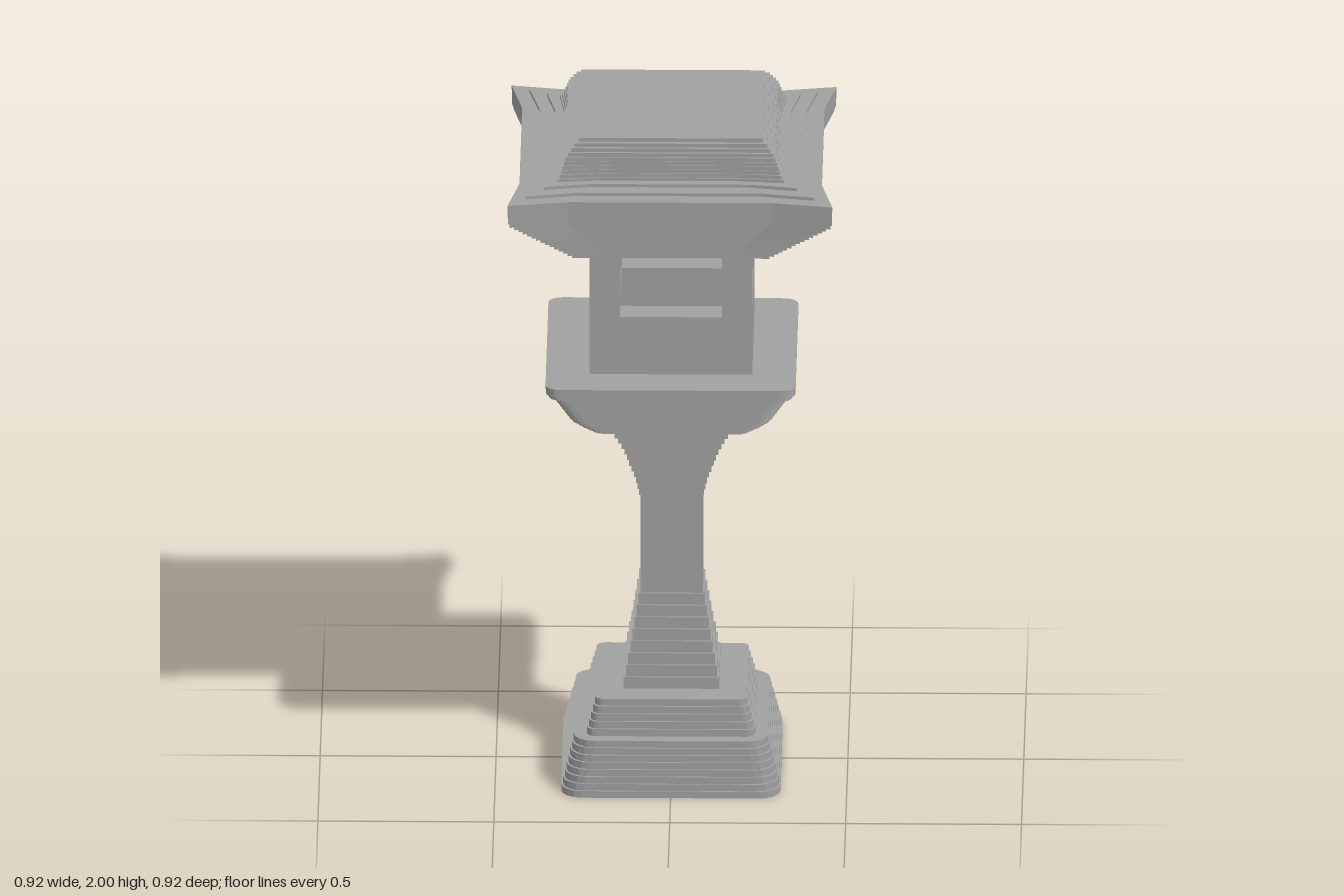
import * as THREE from 'three';
import { mergeGeometries } from 'three/addons/utils/BufferGeometryUtils.js';

const stone = new THREE.MeshStandardMaterial({ color: 0xa0a0a0, flatShading: true });

// Half width at height y along a profile of [y, halfWidth] points
function widthAt(profile, y) {
  for (let i = 1; i < profile.length; i++) {
    const [y0, w0] = profile[i - 1], [y1, w1] = profile[i];
    if (y <= y1) return w0 + (w1 - w0) * (y - y0) / (y1 - y0);
  }
  return profile[profile.length - 1][1];
}

// Square outline with rounded corners, or with sides bowed in between the corners
function outline(w, round, bow) {
  const pts = [];
  for (let k = 0; k < 4; k++) {
    const side = [];
    if (round > 0) {
      for (let i = 0; i <= 4; i++) {
        const a = (i / 4) * Math.PI / 2, c = w - round;
        side.push(new THREE.Vector2(c + round * Math.cos(a), c + round * Math.sin(a)));
      }
    } else {
      side.push(new THREE.Vector2(w, w));
      if (bow > 0) side.push(new THREE.Vector2(w * 0.63, w - bow), new THREE.Vector2(-w * 0.63, w - bow));
    }
    side.forEach(p => pts.push(p.rotateAround(new THREE.Vector2(), k * Math.PI / 2)));
  }
  return new THREE.Shape(pts);
}

// Horizontal slab standing on y0
function slab(shape, y0, height) {
  const g = new THREE.ExtrudeGeometry(shape, { depth: height, bevelEnabled: false });
  return g.rotateX(-Math.PI / 2).translate(0, y0, 0);
}

// Stack of thin slabs that follows a profile in steps
function stepped(name, profile, step, { round = 0, bow = () => 0 } = {}) {
  const y0 = profile[0][0], y1 = profile[profile.length - 1][0];
  const n = Math.round((y1 - y0) / step), h = (y1 - y0) / n;
  const layers = [];
  for (let i = 0; i < n; i++) {
    const y = y0 + i * h;
    layers.push(slab(outline(widthAt(profile, y + h / 2), round, bow(y + h / 2)), y, h));
  }
  return part(name, layers);
}

function part(name, geometries) {
  const mesh = new THREE.Mesh(mergeGeometries(geometries), stone);
  mesh.name = name;
  return mesh;
}

export function createModel() {
  const model = new THREE.Group();
  model.name = 'stoneLantern';

  // Two-tier foot
  model.add(stepped('lowerBase', [[0, 0.314], [0.16, 0.274]], 0.02, { round: 0.06 }));
  model.add(stepped('upperBase', [[0.16, 0.242], [0.265, 0.214]], 0.02, { round: 0.025 }));

  // Waisted square column: flared foot, straight waist, flared head
  model.add(stepped('columnFoot', [[0.265, 0.139], [0.4, 0.114], [0.54, 0.092]], 0.034));
  model.add(part('columnWaist', [slab(outline(0.089, 0, 0), 0.54, 0.3)]));
  model.add(stepped('columnHead', [[0.84, 0.09], [0.9, 0.103], [1.0, 0.137], [1.08, 0.175]], 0.02));

  // Flared platform under the lamp box
  model.add(stepped('platform', [
    [1.08, 0.22], [1.11, 0.255], [1.14, 0.285], [1.22, 0.33], [1.24, 0.354], [1.265, 0.356],
  ], 0.0125, { round: 0.04 }));

  // Hollow lamp box: low wall with four corner posts
  const wall = outline(0.231, 0, 0);
  wall.holes.push(new THREE.Path(outline(0.145, 0, 0).getPoints().reverse()));
  model.add(part('lampBoxWall', [slab(wall, 1.265, 0.175)]));
  const posts = [];
  for (const x of [-1, 1]) for (const z of [-1, 1]) {
    posts.push(new THREE.BoxGeometry(0.086, 0.2, 0.086).translate(x * 0.188, 1.54, z * 0.188));
  }
  model.add(part('lampBoxPosts', posts));

  // Roof: sloping underside, eaves that reach out at the corners
  model.add(stepped('roofEaves', [[1.64, 0.275], [1.81, 0.46], [1.87, 0.462]], 0.0115, {
    bow: y => 0.002 + 0.03 * Math.min(1, (y - 1.64) / 0.17),
  }));

  // Shallow steps on top of the eaves
  model.add(part('roofSteps', [[0.41, 0.03, 1.87], [0.36, 0.025, 1.879]]
    .map(([w, bow, y]) => slab(outline(w, 0, bow), y, 0.009))));

  // Raised cap with a flat top
  model.add(stepped('roofCap', [
    [1.885, 0.325], [1.91, 0.312], [1.95, 0.298], [1.98, 0.278], [2.0, 0.255],
  ], 0.0115, { bow: y => 0.015 * Math.max(0, (1.96 - y) / 0.075) }));

  return model;
}
